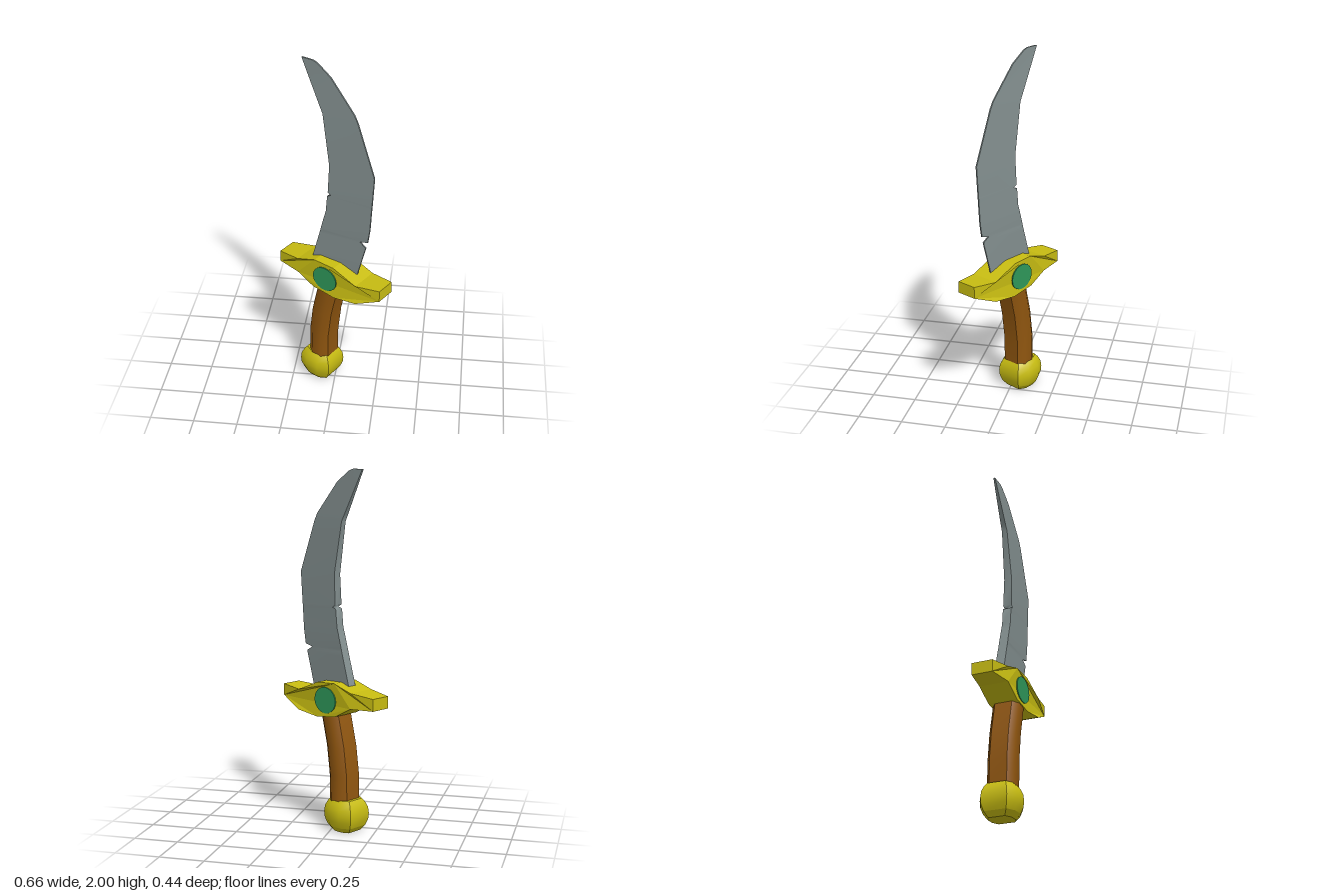
import * as THREE from 'three';

const material = (name, color, side = THREE.FrontSide) => {
  const m = new THREE.MeshStandardMaterial({ color, side });
  m.name = name;
  return m;
};

// Loft through rings at rising heights. A ring is a list of sides, each a polyline of [x, z];
// sides do not share vertices, so their edges stay sharp. Repeating a ring adds a crease.
function loft(rings) {
  const pos = [], idx = [];
  const add = ([x, z], y) => pos.push(x, y, z) / 3 - 1;
  rings[0].sides.forEach((side, s) => {
    const rows = rings.map(r => r.sides[s].map(p => add(p, r.y)));
    for (let j = 0; j < rows.length - 1; j++) {
      for (let i = 0; i < side.length - 1; i++) {
        const a = rows[j][i], b = rows[j][i + 1], c = rows[j + 1][i + 1], d = rows[j + 1][i];
        idx.push(a, b, c, a, c, d);
      }
    }
  });
  [rings[0], rings[rings.length - 1]].forEach((r, top) => {
    const loop = r.sides.flatMap(s => s.slice(0, -1)).map(p => add(p, r.y));
    for (let i = 1; i < loop.length - 1; i++) {
      if (top) idx.push(loop[0], loop[i], loop[i + 1]);
      else idx.push(loop[0], loop[i + 1], loop[i]);
    }
  });
  const g = new THREE.BufferGeometry();
  g.setAttribute('position', new THREE.Float32BufferAttribute(pos, 3));
  g.setIndex(idx);
  g.computeVertexNormals();
  return g;
}

// Flat narrow sides with bulging front and back
function bulgedRing(y, cx, [cornerX, cornerZ], [midX, midZ], s = 1) {
  const p = (x, z) => [cx + x * s, z * s];
  return { y, sides: [
    [p(-cornerX, cornerZ), p(-midX, midZ), p(midX, midZ), p(cornerX, cornerZ)],
    [p(cornerX, cornerZ), p(cornerX, -cornerZ)],
    [p(cornerX, -cornerZ), p(midX, -midZ), p(-midX, -midZ), p(-cornerX, -cornerZ)],
    [p(-cornerX, -cornerZ), p(-cornerX, cornerZ)],
  ] };
}

// Wedge section: thick spine on -x, thin cutting edge on +x
function bladeRing([y, spine, edge, thick]) {
  const t = thick / 2, e = 0.004;
  const a = [spine, t], b = [edge, e], c = [edge, -e], d = [spine, -t];
  return { y, sides: [[a, b], [b, c], [c, d], [d, a]] };
}

export function createModel() {
  const model = new THREE.Group();
  const sword = new THREE.Group();
  sword.name = 'sword';
  sword.rotation.y = -THREE.MathUtils.degToRad(29.5);
  model.add(sword);

  const steel = material('steel', 0x849090);
  const gold = material('gold', 0xc8bd12);
  const wood = material('wood', 0x90560f);
  const green = material('green gem', 0x2f985a);

  const part = (name, geometry, mat) => {
    const mesh = new THREE.Mesh(geometry, mat);
    mesh.name = name;
    sword.add(mesh);
    return mesh;
  };

  // Pommel: y and scale
  part('pommel', loft([
    [0, 0.64], [0.03, 0.86], [0.03, 0.86], [0.065, 0.99], [0.1, 1.02], [0.135, 0.98], [0.165, 0.84], [0.183, 0.7],
  ].map(([y, s]) => bulgedRing(y, -0.094, [0.1, 0.073], [0.04, 0.105], s))), gold);

  // Curved grip: y and centre
  part('grip', loft([
    [0.15, -0.08], [0.32, -0.077], [0.48, -0.056], [0.64, -0.018], [0.7, 0],
  ].map(([y, cx]) => bulgedRing(y, cx, [0.065, 0.05], [0.03, 0.078]))), wood);

  // Guard, narrowed towards both ends
  const outline = [
    [-0.345, 0.72], [-0.2, 0.715], [-0.09, 0.657], [0.05, 0.636], [0.2, 0.655], [0.345, 0.716],
    [0.345, 0.782], [0.2, 0.772], [0.05, 0.833], [-0.08, 0.84], [-0.2, 0.803], [-0.345, 0.787],
  ].map(p => new THREE.Vector2(...p));
  const guard = new THREE.ExtrudeGeometry(new THREE.Shape(outline), { depth: 0.168, bevelEnabled: false });
  guard.translate(0, 0, -0.084);
  const p = guard.attributes.position;
  for (let i = 0; i < p.count; i++) {
    if (Math.abs(p.getX(i)) > 0.3) p.setZ(i, p.getZ(i) * 0.71);
  }
  guard.computeVertexNormals();
  part('guard', guard, gold);

  // Thin gem on each face of the guard
  for (const side of [1, -1]) {
    const gem = part(side > 0 ? 'frontGem' : 'backGem', new THREE.CylinderGeometry(1, 1, 0.006, 20), green);
    gem.rotation.x = Math.PI / 2;
    gem.scale.set(0.08, 1, 0.073);
    gem.position.set(-0.01, 0.738, side * 0.084);
  }

  // Curved blade with a nick in the edge and one in the spine: y, spine, edge, spine thickness
  part('blade', loft([
    [0.74, -0.155, 0.142, 0.054], [0.84, -0.13, 0.17, 0.054], [0.985, -0.088, 0.211, 0.052],
    [1.01, -0.081, 0.17, 0.052], [1.022, -0.078, 0.222, 0.052], [1.1, -0.056, 0.235, 0.051],
    [1.14, -0.044, 0.238, 0.05], [1.24, -0.034, 0.245, 0.05], [1.25, -0.008, 0.246, 0.048],
    [1.262, -0.03, 0.247, 0.05], [1.43, -0.021, 0.259, 0.046], [1.72, -0.069, 0.149, 0.032],
    [1.76, -0.09, 0.127, 0.029], [1.93, -0.176, -0.023, 0.016], [1.99, -0.206, -0.11, 0.011],
    [2, -0.211, -0.14, 0.01],
  ].map(bladeRing)), steel);

  return model;
}
